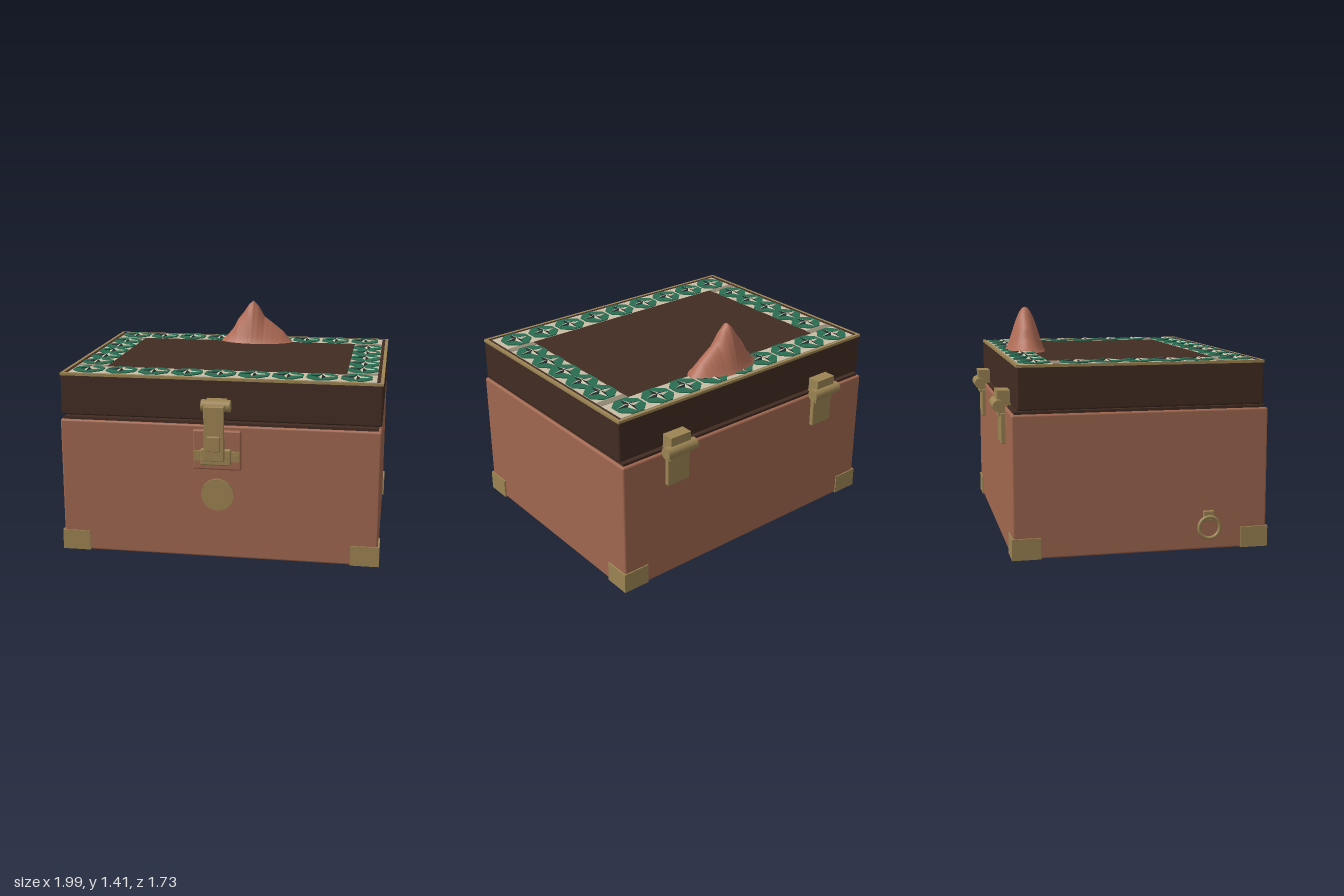
import * as THREE from 'three';
import { mergeGeometries } from 'three/addons/utils/BufferGeometryUtils.js';
import { RoundedBoxGeometry } from 'three/addons/geometries/RoundedBoxGeometry.js';

const mat = (name, color, side = THREE.FrontSide) => {
  const m = new THREE.MeshStandardMaterial({ color, side });
  m.name = name;
  return m;
};

export function createModel() {
  const root = new THREE.Group();
  root.name = 'decoratedChest';
  const leather = mat('leather', 0xa0674f);
  const darkWood = mat('darkWood', 0x422c23);
  const brass = mat('brass', 0x9c8453);
  const green = mat('greenTile', 0x2a6c51);
  const cream = mat('cream', 0xc8bea6);
  const grey = mat('greyStone', 0x8f8672);
  const black = mat('darkInlay', 0x1f2a2b);
  const clay = mat('clay', 0xb06c56, THREE.DoubleSide);

  const add = (name, geo, material, parent = root) => {
    const m = new THREE.Mesh(geo, material);
    m.name = name;
    parent.add(m);
    return m;
  };
  // Box given by its minimum and maximum on each axis
  const box = (name, material, x0, x1, y0, y1, z0, z1, r = 0, parent = root) => {
    const s = [x1 - x0, y1 - y0, z1 - z0];
    const geo = r ? new RoundedBoxGeometry(...s, 2, r) : new THREE.BoxGeometry(...s);
    const m = add(name, geo, material, parent);
    m.position.set((x0 + x1) / 2, (y0 + y1) / 2, (z0 + z1) / 2);
    return m;
  };
  const cyl = (name, material, r, len, x, y, z, axis, parent = root) => {
    const m = add(name, new THREE.CylinderGeometry(r, r, len, 32), material, parent);
    if (axis === 'x') m.rotation.z = Math.PI / 2;
    if (axis === 'z') m.rotation.x = Math.PI / 2;
    m.position.set(x, y, z);
    return m;
  };
  // Flat rectangular ring lying between y0 and y1
  const frame = (name, material, o, i, y0, y1) => {
    const rect = (P, [x0, x1, z0, z1]) => {
      const p = new P();
      p.moveTo(x0, -z0); p.lineTo(x1, -z0); p.lineTo(x1, -z1); p.lineTo(x0, -z1); p.closePath();
      return p;
    };
    const s = rect(THREE.Shape, o);
    s.holes.push(rect(THREE.Path, i));
    const m = add(name, new THREE.ExtrudeGeometry(s, { depth: y1 - y0, bevelEnabled: false }), material);
    m.rotation.x = -Math.PI / 2;
    m.position.y = y0;
  };

  // Chest body, base panel, rim and lid
  box('body', leather, -0.965, 0.985, 0.01, 0.85, -0.786, 0.74, 0.012);
  box('basePanel', darkWood, -0.87, 0.89, 0, 0.02, -0.675, 0.63);
  box('rim', darkWood, -0.945, 0.967, 0.84, 0.866, -0.768, 0.724);
  box('rimCore', darkWood, -0.72, 0.74, 0.86, 0.88, -0.6, 0.55);
  box('lid', darkWood, -0.965, 0.985, 0.872, 1.128, -0.754, 0.71, 0.012);
  frame('lidTrim', brass, [-0.966, 0.986, -0.755, 0.711], [-0.946, 0.966, -0.735, 0.691], 1.118, 1.134);

  // Brass corner guards
  for (const sx of [-1, 1]) for (const sz of [-1, 1]) {
    const g = new THREE.Group();
    g.name = 'cornerGuard';
    root.add(g);
    const x = 0.01 + sx * 0.985, z = -0.023 + sz * 0.77;
    const mm = (a, b) => [Math.min(a, b), Math.max(a, b)];
    box('guardFace', brass, ...mm(x, x - sx * 0.175), 0.01, 0.135, ...mm(z, z - sz * 0.012), 0, g);
    box('guardSide', brass, ...mm(x, x - sx * 0.012), 0.01, 0.135, ...mm(z, z - sz * 0.168), 0, g);
  }

  // Tiled border on the lid
  frame('tileBed', cream, [-0.925, 0.945, -0.727, 0.674], [-0.738, 0.76, -0.54, 0.48], 1.12, 1.132);
  for (const [x0, x1] of [[-0.925, -0.738], [0.76, 0.945]])
    for (const [z0, z1] of [[-0.54, -0.49], [0.43, 0.48]])
      box('borderSpacer', grey, x0, x1, 1.128, 1.134, z0, z1);

  const centres = [];
  for (let i = 0; i < 9; i++) for (const z of [-0.634, 0.577]) centres.push([-0.82 + i * 0.2055, z]);
  for (let i = 0; i < 5; i++) for (const x of [-0.831, 0.852]) centres.push([x, -0.392 + i * 0.1835]);

  // One colour of a raised four-pointed star: alternate facets
  const starHalf = (odd) => {
    const pos = [];
    const pt = (k) => {
      const a = (k * Math.PI) / 4, r = k % 2 ? 0.03 : 0.083;
      return [r * Math.cos(a), 0, r * Math.sin(a)];
    };
    for (let k = odd; k < 8; k += 2) pos.push(0, 0.009, 0, ...pt(k + 1), ...pt(k));
    const g = new THREE.BufferGeometry();
    g.setAttribute('position', new THREE.Float32BufferAttribute(pos, 3));
    g.computeVertexNormals();
    return g;
  };
  const octagon = new THREE.CylinderGeometry(0.0995, 0.0995, 0.009, 8).rotateY(Math.PI / 8);
  const scatter = (geo, y) => mergeGeometries(centres.map(([x, z]) => geo.clone().translate(x, y, z)));
  add('octagonTiles', scatter(octagon, 1.1335), green);
  add('starLightFacets', scatter(starHalf(0), 1.139), cream);
  add('starDarkFacets', scatter(starHalf(1), 1.139), black);

  // Small mountain: arched cross-sections along a ridge line
  const ridge = [[-0.19, 0], [-0.15, 0.03], [-0.1, 0.09], [-0.07, 0.15], [-0.03, 0.2], [0.01, 0.26],
    [0.04, 0.285], [0.08, 0.245], [0.12, 0.175], [0.18, 0.13], [0.25, 0.075], [0.29, 0.03], [0.32, 0]];
  const ridgeAt = (x) => {
    let i = 0;
    while (i < ridge.length - 2 && x > ridge[i + 1][0]) i++;
    const [a, b] = [ridge[i], ridge[i + 1]];
    return THREE.MathUtils.lerp(a[1], b[1], (x - a[0]) / (b[0] - a[0]));
  };
  const hill = new THREE.PlaneGeometry(2, 2, 64, 24).rotateX(-Math.PI / 2);
  const p = hill.attributes.position;
  for (let i = 0; i < p.count; i++) {
    const u = p.getX(i), s = p.getZ(i);
    const x = 0.065 + 0.255 * u;
    const half = 0.131 * Math.sqrt(Math.max(0, 1 - u * u));
    const rough = 1 + 0.03 * Math.sin(u * 47) * s * s;
    p.setXYZ(i, x, 1.13 + ridgeAt(x) * Math.pow(Math.max(0, 1 - s * s), 1.5) * rough, -0.568 + half * s);
  }
  hill.computeVertexNormals();
  add('mountain', hill, clay);

  // Front latch
  const latch = new THREE.Group();
  latch.name = 'latch';
  root.add(latch);
  box('latchBacking', leather, -0.135, 0.157, 0.58, 0.825, 0.73, 0.765, 0.01, latch);
  box('catchFlange', brass, -0.128, 0.15, 0.638, 0.7, 0.76, 0.778, 0, latch);
  box('catchBlock', brass, -0.085, 0.1, 0.615, 0.715, 0.76, 0.793, 0.008, latch);
  for (const x of [-0.105, 0.127]) cyl('screw', brass, 0.014, 0.012, x, 0.667, 0.781, 'z', latch);
  box('catchHook', brass, -0.04, 0.05, 0.66, 0.76, 0.785, 0.83, 0, latch);
  box('hasp', brass, -0.055, 0.067, 0.658, 0.975, 0.822, 0.848, 0.005, latch);
  box('haspPad', brass, -0.034, 0.046, 0.72, 0.812, 0.84, 0.866, 0.005, latch);
  box('haspArm', brass, -0.055, 0.067, 0.958, 0.99, 0.765, 0.848, 0.005, latch);
  cyl('latchBarrel', brass, 0.036, 0.176, 0.007, 0.979, 0.767, 'x', latch);
  box('latchMount', brass, -0.055, 0.067, 0.945, 1.012, 0.705, 0.76, 0, latch);

  // Round medallion below the latch
  cyl('medallion', brass, 0.1, 0.02, 0.01, 0.418, 0.742, 'z');

  // Two rear hinges
  for (const x of [-0.583, 0.604]) {
    const g = new THREE.Group();
    g.name = 'hinge';
    g.position.x = x;
    root.add(g);
    box('hingeUpperLeaf', brass, -0.073, 0.073, 0.862, 0.955, -0.832, -0.75, 0, g);
    box('hingeLowerLeaf', brass, -0.08, 0.08, 0.635, 0.82, -0.812, -0.78, 0.005, g);
    box('hingeKnuckle', brass, -0.073, 0.073, 0.8, 0.87, -0.825, -0.784, 0, g);
    cyl('hingeBarrel', brass, 0.037, 0.216, 0, 0.865, -0.824, 'x', g);
  }

  // Side pull ring with its mount
  const ring = add('pullRing', new THREE.TorusGeometry(0.064, 0.011, 10, 40), brass);
  ring.rotation.y = Math.PI / 2;
  ring.position.set(-0.989, 0.147, 0.378);
  box('ringMount', brass, -0.985, -0.96, 0.185, 0.245, 0.345, 0.411, 0.005);

  return root;
}
